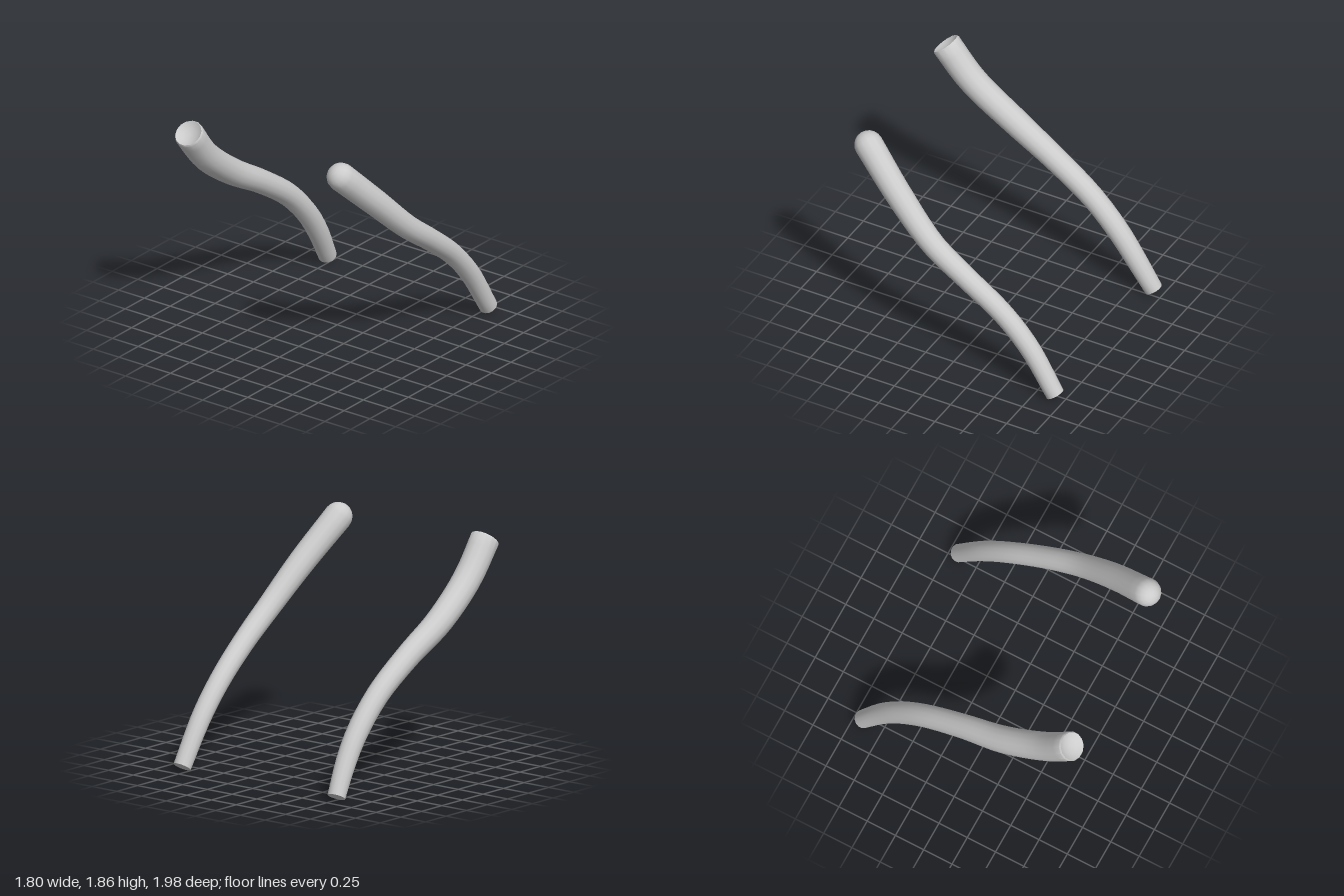
import * as THREE from 'three';
import { toCreasedNormals } from 'three/addons/utils/BufferGeometryUtils.js';

const SIDES = 14;
const STEPS = 26;

// Tapered tube swept along points [x, y, z, radius].
// startCap is a list of [offset along the path, radius factor], in units of the
// first radius, running from the pole to the rim; the far end is cut flat.
function taperedTube(points, startCap) {
  const curve = new THREE.CatmullRomCurve3(points.map(([x, y, z]) => new THREE.Vector3(x, y, z)));
  const frames = curve.computeFrenetFrames(STEPS, false);
  const radiusAt = (u) => {
    const s = curve.getUtoTmapping(u) * (points.length - 1);
    const i = Math.min(Math.floor(s), points.length - 2);
    return THREE.MathUtils.lerp(points[i][3], points[i + 1][3], s - i);
  };

  // Cross-sections: start cap, body, closing pole
  const rings = startCap.map(([along, factor]) => ({
    frame: 0,
    centre: curve.getPointAt(0).addScaledVector(frames.tangents[0], along * points[0][3]),
    radius: factor * points[0][3],
  }));
  for (let i = startCap.length ? 1 : 0; i <= STEPS; i++) {
    rings.push({ frame: i, centre: curve.getPointAt(i / STEPS), radius: radiusAt(i / STEPS) });
  }
  rings.push({ frame: STEPS, centre: curve.getPointAt(1), radius: 0 });

  const position = [];
  const index = [];
  rings.forEach(({ frame, centre, radius }, i) => {
    for (let j = 0; j < SIDES; j++) {
      const a = (j / SIDES) * Math.PI * 2;
      const p = centre.clone()
        .addScaledVector(frames.normals[frame], Math.cos(a) * radius)
        .addScaledVector(frames.binormals[frame], Math.sin(a) * radius);
      position.push(p.x, p.y, p.z);
      if (i === rings.length - 1) continue;
      const k = (j + 1) % SIDES;
      const [a0, b0, a1, b1] = [i * SIDES + j, i * SIDES + k, (i + 1) * SIDES + j, (i + 1) * SIDES + k];
      index.push(a0, b0, a1, b0, b1, a1);
    }
  });
  const geometry = new THREE.BufferGeometry();
  geometry.setAttribute('position', new THREE.Float32BufferAttribute(position, 3));
  geometry.setIndex(index);
  return toCreasedNormals(geometry, Math.PI / 5);
}

export function createModel() {
  const model = new THREE.Group();
  const material = new THREE.MeshStandardMaterial({ color: 0xcccccc });
  const add = (name, points, cap) => {
    const mesh = new THREE.Mesh(taperedTube(points, cap), material);
    mesh.name = name;
    model.add(mesh);
  };

  // Rounded head
  const dome = [];
  for (let i = 0; i <= 5; i++) {
    const a = (i / 5) * Math.PI / 2;
    dome.push([-Math.cos(a), Math.sin(a)]);
  }
  add('leftCurvedRod', [
    [0.645, 1.745, 0.815, 0.114],
    [0.74, 1.43, 0.49, 0.106],
    [0.80, 1.12, 0.16, 0.094],
    [0.80, 0.90, -0.14, 0.088],
    [0.78, 0.65, -0.46, 0.084],
    [0.775, 0.40, -0.69, 0.081],
    [0.78, 0.04, -0.92, 0.073],
  ], dome);

  // Shallow dished head with a soft rim
  const dish = [[0.3, 0], [0.24, 0.5], [0.06, 0.84], [0, 0.93], [0.12, 1]];
  add('rightCurvedRod', [
    [-0.763, 1.77, 0.915, 0.118],
    [-0.775, 1.49, 0.68, 0.114],
    [-0.792, 1.215, 0.315, 0.108],
    [-0.775, 1.01, -0.03, 0.097],
    [-0.762, 0.76, -0.39, 0.091],
    [-0.757, 0.51, -0.63, 0.088],
    [-0.762, 0.30, -0.775, 0.083],
    [-0.785, 0.04, -0.925, 0.073],
  ], dish);

  return model;
}
